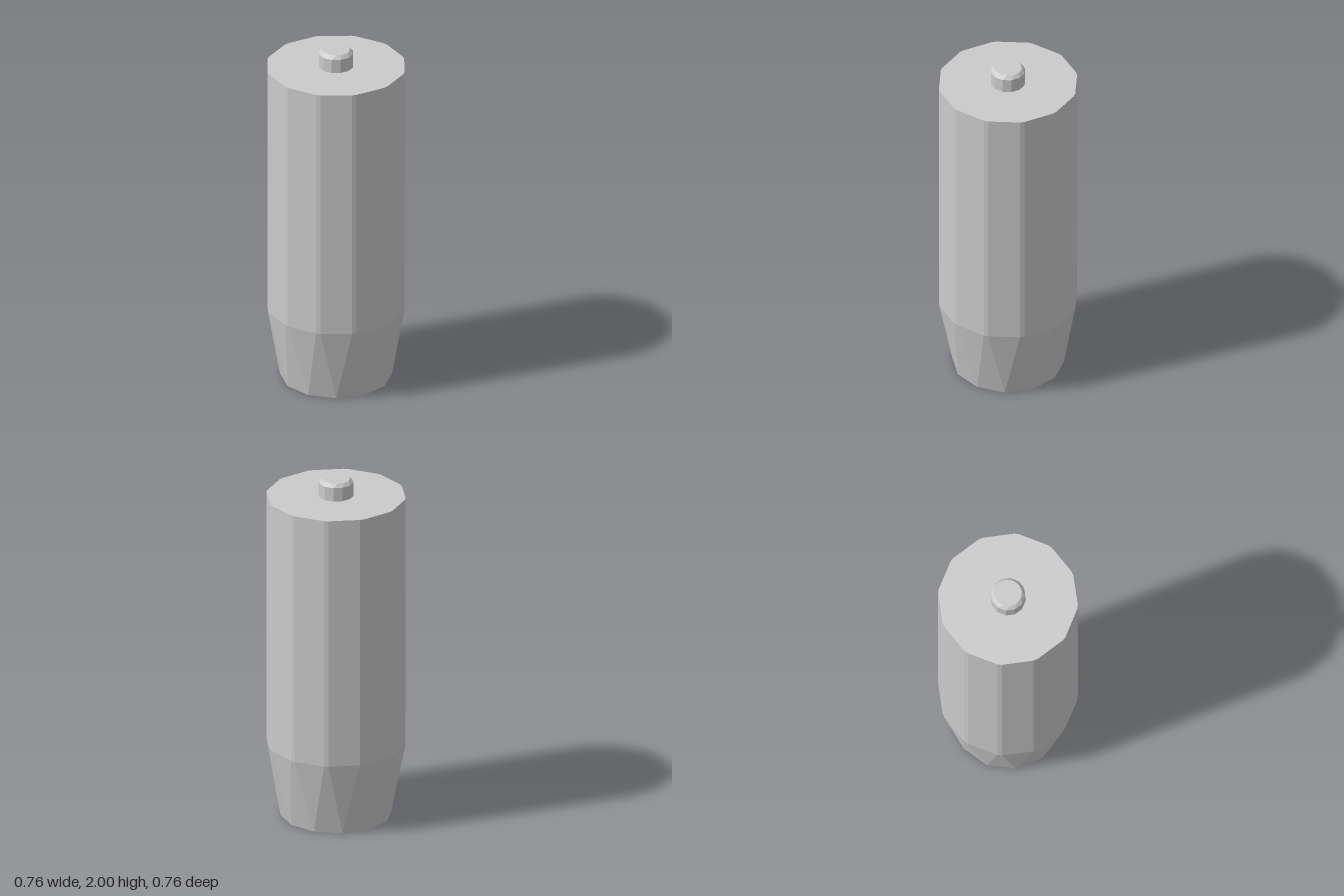
import * as THREE from 'three';
import { ConvexGeometry } from 'three/addons/geometries/ConvexGeometry.js';

const SIDES = 12;
const STEP = (Math.PI * 2) / SIDES;

// Corners of a regular polygon at height y; cut > 0 trims each corner into two points
function ring(radius, y, turn, cut = 0) {
  const points = [];
  const corner = (i) => new THREE.Vector3(
    radius * Math.sin((i + turn) * STEP), y, radius * Math.cos((i + turn) * STEP));
  for (let i = 0; i < SIDES; i++) {
    const c = corner(i);
    if (cut === 0) { points.push(c); continue; }
    for (const side of [-1, 1]) {
      const along = corner(i + side).sub(c).setLength(cut);
      points.push(c.clone().add(along));
    }
  }
  return points;
}

// Faceted solid spanned by a stack of rings
function solid(name, rings) {
  const material = new THREE.MeshStandardMaterial({ color: 0xcccccc, flatShading: true });
  const mesh = new THREE.Mesh(new ConvexGeometry(rings.flat()), material);
  mesh.name = name;
  return mesh;
}

export function createModel() {
  const group = new THREE.Group();
  group.name = 'canister';

  // Body: straight shaft with trimmed corners, tapering to a foot turned half a side
  group.add(solid('body', [
    ring(0.31, 0, 0),
    ring(0.392, 0.43, 0.5, 0.013),
    ring(0.392, 1.9, 0.5, 0.013),
  ]));

  // Top button: short peg with a bevelled, half-turned rim, sunk slightly into the body
  group.add(solid('topButton', [
    ring(0.097, 1.88, 0.5),
    ring(0.097, 1.98, 0.5),
    ring(0.078, 2, 0),
  ]));

  return group;
}
